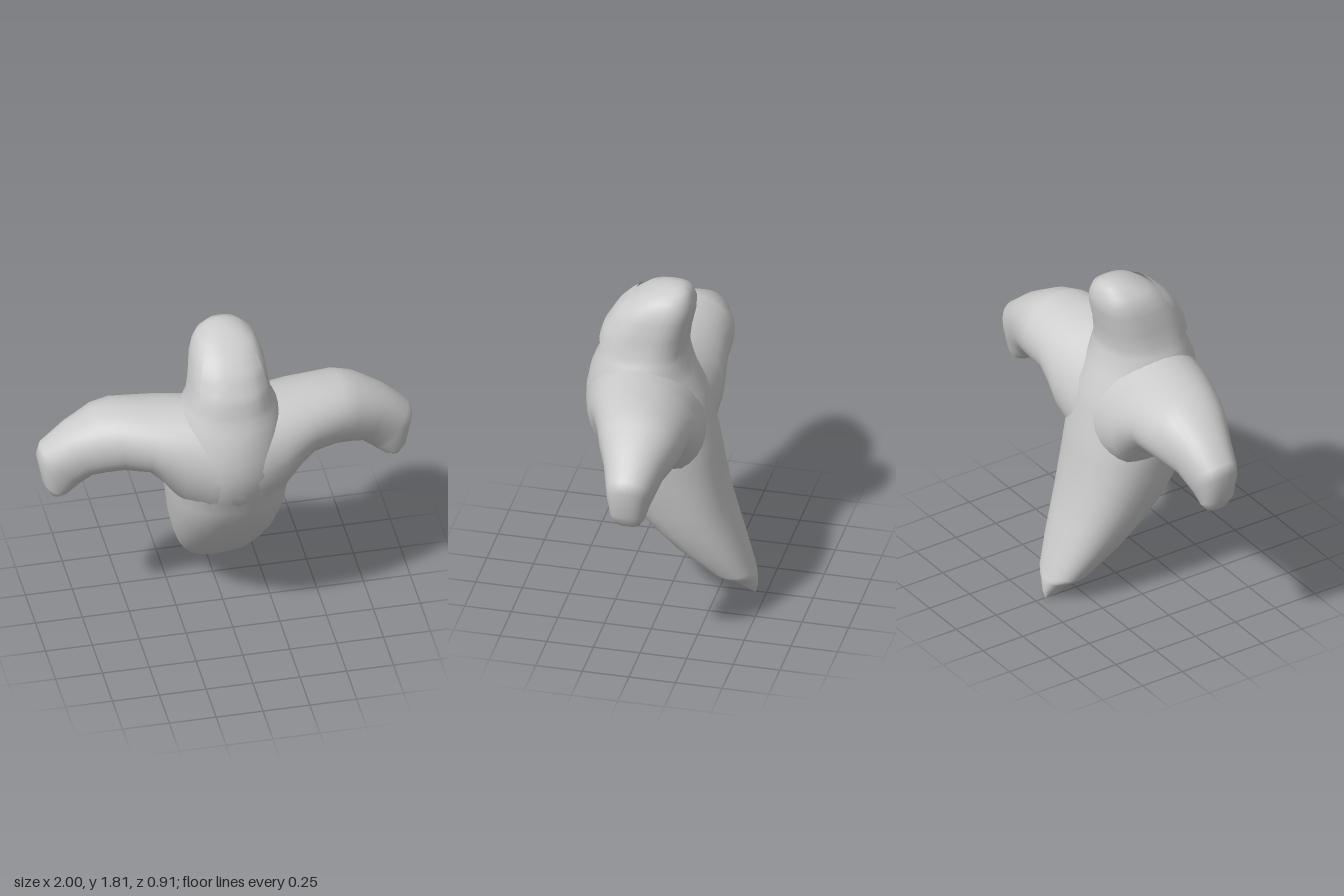
import * as THREE from 'three';

const SEG = 32;

// Body slices: height, half width, front z, back z, squareness
const BODY = [
  [0.005, 0.006, -0.43, -0.442, 2],
  [0.05, 0.038, -0.35, -0.454, 2],
  [0.105, 0.085, -0.268, -0.45, 2.2],
  [0.125, 0.122, -0.24, -0.442, 2.3],
  [0.15, 0.145, -0.21, -0.432, 2.4],
  [0.3, 0.205, -0.02, -0.385, 2.5],
  [0.42, 0.242, 0.1, -0.345, 2.5],
  [0.55, 0.275, 0.21, -0.305, 2.5],
  [0.73, 0.305, 0.335, -0.268, 2.4],
  [0.83, 0.32, 0.37, -0.255, 2.2],
  [0.92, 0.333, 0.405, -0.24, 2.1],
  [1.0, 0.335, 0.44, -0.222, 2],
  [1.1, 0.33, 0.46, -0.203, 2],
  [1.2, 0.315, 0.455, -0.175, 2],
  [1.3, 0.29, 0.435, -0.125, 2],
  [1.37, 0.268, 0.408, -0.1, 2.1],
  [1.42, 0.245, 0.385, -0.087, 2.2],
  [1.46, 0.222, 0.375, -0.08, 2.4],
  [1.55, 0.207, 0.35, -0.09, 2.5],
  [1.66, 0.193, 0.285, -0.115, 2.5],
  [1.72, 0.172, 0.225, -0.118, 2.5],
  [1.765, 0.145, 0.165, -0.103, 2.5],
  [1.798, 0.09, 0.085, -0.085, 2.3],
  [1.812, 0.04, 0.03, -0.05, 2],
];

// Arm slices from the chest centre out:
// upper x, y; lower x, y; front z, back z, forward lean, squareness
const ARM = [
  [0.0, 1.4, 0.0, 0.7, 0.45, -0.195, 0.045, 2],
  [0.13, 1.405, 0.15, 0.73, 0.43, -0.2, 0.045, 2],
  [0.25, 1.408, 0.28, 0.82, 0.393, -0.207, 0.045, 2],
  [0.34, 1.406, 0.36, 0.93, 0.36, -0.2, 0.04, 2],
  [0.45, 1.403, 0.43, 1.0, 0.32, -0.19, 0.035, 2],
  [0.6, 1.4, 0.56, 1.015, 0.268, -0.186, 0.025, 2.1],
  [0.7, 1.37, 0.65, 1.01, 0.237, -0.168, 0.015, 2.2],
  [0.85, 1.28, 0.71, 0.99, 0.187, -0.13, 0.005, 2.2],
  [0.98, 1.17, 0.77, 0.94, 0.15, -0.1, 0, 2.3],
  [1.0, 1.11, 0.79, 0.92, 0.14, -0.085, 0, 2.3],
  [0.97, 0.95, 0.84, 0.885, 0.12, -0.06, 0, 2.3],
  [0.935, 0.88, 0.865, 0.878, 0.09, -0.035, 0, 2.3],
];

// Skin a closed surface over rings of points, capped at both ends
function loft(rings) {
  const pos = rings.flat(2);
  const index = [];
  const n = rings[0].length;
  for (let j = 0; j < rings.length - 1; j++) {
    for (let i = 0; i < n; i++) {
      const a = j * n + i, b = j * n + (i + 1) % n;
      index.push(a, b, b + n, a, b + n, a + n);
    }
  }
  [0, rings.length - 1].forEach((j) => {
    const c = pos.length / 3;
    for (let k = 0; k < 3; k++) pos.push(rings[j].reduce((s, p) => s + p[k], 0) / n);
    for (let i = 0; i < n; i++) {
      const a = j * n + i, b = j * n + (i + 1) % n;
      if (j === 0) index.push(c, b, a);
      else index.push(c, a, b);
    }
  });
  return finish(pos, index);
}

function finish(pos, index) {
  const g = new THREE.BufferGeometry();
  g.setAttribute('position', new THREE.Float32BufferAttribute(pos, 3));
  g.setIndex(index);
  g.computeVertexNormals();
  return g;
}

const angles = Array.from({ length: SEG }, (_, i) => (i / SEG) * Math.PI * 2);
const soft = (v, n) => Math.sign(v) * Math.pow(Math.abs(v), 2 / n);

function bodyRing([y, w, f, b, n]) {
  return angles.map((a) => [
    w * soft(Math.sin(a), n), y, (f + b) / 2 + ((f - b) / 2) * soft(Math.cos(a), n),
  ]);
}

function armRing([ux, uy, lx, ly, f, b, lean, n], side) {
  return angles.map((a) => {
    const up = soft(Math.cos(a), n);
    const t = (1 + up) / 2;
    return [
      side * (lx + (ux - lx) * t),
      ly + (uy - ly) * t,
      (f + b) / 2 + ((f - b) / 2) * soft(Math.sin(a), n) + lean * up,
    ];
  });
}

// Depth of the body's front surface at a given x and y
function frontZ(x, y) {
  const j = BODY.findIndex((s) => s[0] > y);
  const p = BODY[j - 1], q = BODY[j];
  const t = (y - p[0]) / (q[0] - p[0]);
  const [, w, f, b, n] = p.map((v, k) => v + (q[k] - v) * t);
  const r = Math.min(1, Math.abs(x) / w);
  return (f + b) / 2 + ((f - b) / 2) * Math.pow(1 - Math.pow(r, n), 1 / n);
}

// Thin curved face panel following the head
function facePanel() {
  const N = 10, pos = [], index = [];
  for (let j = 0; j <= N; j++) {
    for (let i = 0; i <= N; i++) {
      const t = j / N, s = (i / N) * 2 - 1;
      const low = 1.505 - 0.045 * Math.abs(s), high = 1.75 - 0.03 * s * s;
      const x = s * (0.185 - 0.045 * Math.pow(t, 2.5));
      const y = low + (high - low) * t;
      pos.push(x, y, frontZ(x, y) + 0.018);
      if (i < N && j < N) {
        const a = j * (N + 1) + i, c = a + N + 1;
        index.push(a, a + 1, c + 1, a, c + 1, c);
      }
    }
  }
  return finish(pos, index);
}

export function createModel() {
  const model = new THREE.Group();
  const grey = new THREE.MeshStandardMaterial({ color: 0xcccccc, side: THREE.DoubleSide });
  grey.name = 'light grey';

  const add = (name, geometry) => {
    const mesh = new THREE.Mesh(geometry, grey);
    mesh.name = name;
    model.add(mesh);
  };

  add('body', loft(BODY.map(bodyRing)));
  // Both arms form one continuous skin across the chest
  const rightHalf = ARM.slice(1).reverse().map((s) => armRing(s, -1));
  const leftHalf = ARM.map((s) => armRing(s, 1));
  add('armsAndShoulders', loft([...rightHalf, ...leftHalf]));
  add('facePanel', facePanel());
  return model;
}
